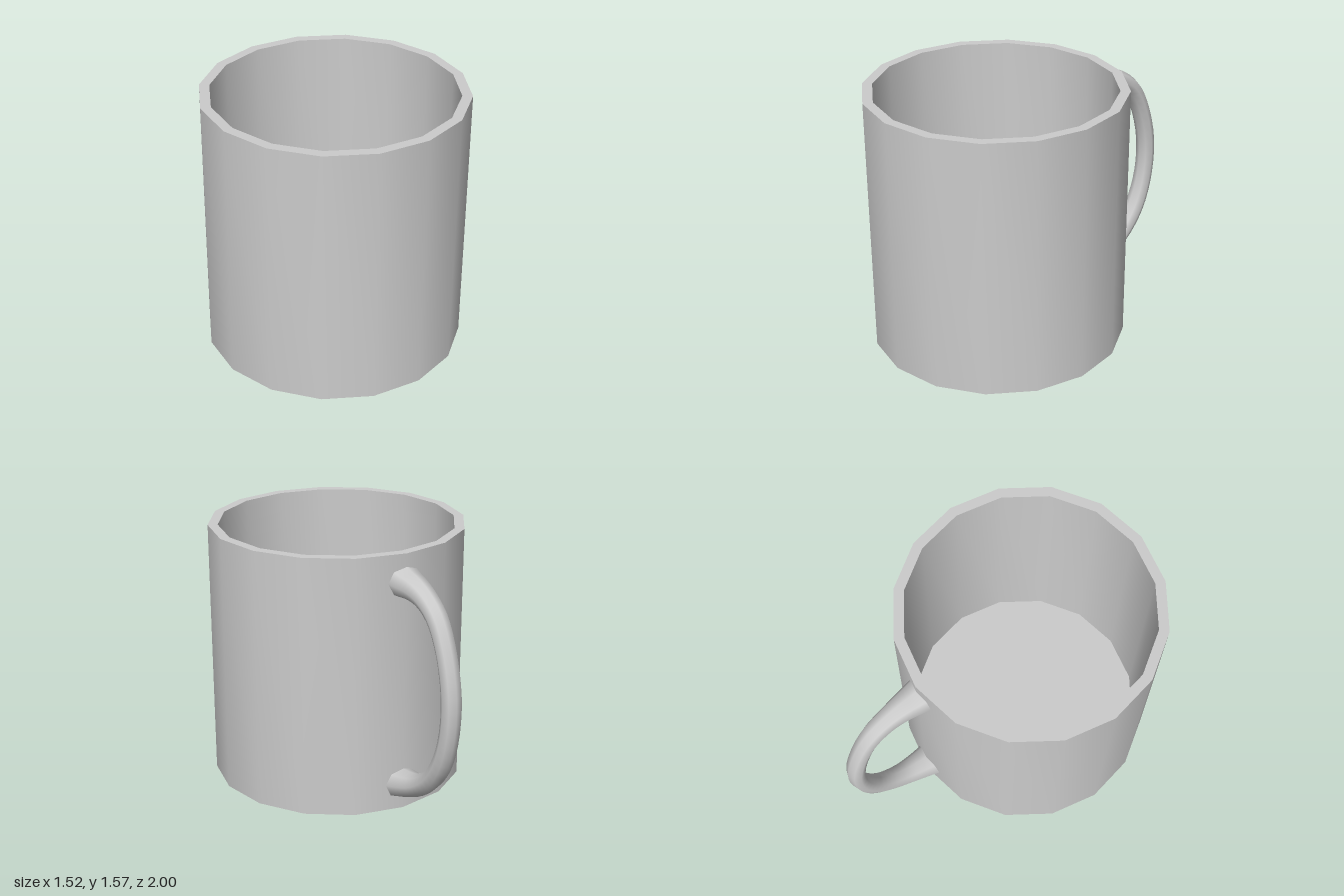
import * as THREE from 'three';
import { toCreasedNormals } from 'three/addons/utils/BufferGeometryUtils.js';

const R = 0.766, INNER = 0.707, H = 1.57, FLOOR = 0.06;

// Handle stations: distance from the cup's axis, height, thickness radius
const HANDLE = [
  [0.72, 1.405, 0.098], [0.78, 1.398, 0.087], [0.87, 1.39, 0.072], [0.97, 1.357, 0.061],
  [1.075, 1.28, 0.057], [1.165, 1.12, 0.054], [1.225, 0.88, 0.054], [1.215, 0.64, 0.054],
  [1.15, 0.44, 0.057], [1.05, 0.305, 0.06], [0.93, 0.22, 0.067], [0.80, 0.173, 0.085],
  [0.72, 0.155, 0.1],
];

// Closed octagonal sweep in the XY plane, swelling towards both ends
function handleGeometry(steps = 40, sides = 8) {
  const curve = new THREE.CatmullRomCurve3(HANDLE.map((p) => new THREE.Vector3(...p)));
  const positions = [], index = [];
  for (let i = 0; i <= steps; i++) {
    const p = curve.getPoint(i / steps);
    const t = curve.getTangent(i / steps).setZ(0).normalize();
    const n = new THREE.Vector3(-t.y, t.x, 0);
    // sideways the handle is a little wider than it is deep
    const wide = p.z * 1.13;
    for (let j = 0; j < sides; j++) {
      const a = (j / sides) * Math.PI * 2;
      const c = Math.cos(a) * p.z;
      positions.push(p.x + n.x * c, p.y + n.y * c, Math.sin(a) * wide);
      if (i < steps) {
        const k = (j + 1) % sides, r = i * sides, s = r + sides;
        index.push(r + j, r + k, s + j, r + k, s + k, s + j);
      }
    }
  }
  // end caps, buried in the wall
  const last = steps * sides;
  for (let j = 1; j < sides - 1; j++) {
    index.push(0, j + 1, j, last, last + j, last + j + 1);
  }
  const g = new THREE.BufferGeometry();
  g.setAttribute('position', new THREE.Float32BufferAttribute(positions, 3));
  g.setIndex(index);
  return toCreasedNormals(g, THREE.MathUtils.degToRad(60));
}

export function createModel() {
  const group = new THREE.Group();
  group.name = 'mug';
  const material = new THREE.MeshStandardMaterial({ color: 0xcccccc });

  // Sixteen-sided cup: base, outer wall, rim, inner wall and floor
  const profile = [[0, 0], [R, 0], [R, H], [INNER, H], [INNER, FLOOR], [0, FLOOR]]
    .map(([x, y]) => new THREE.Vector2(x, y));
  const lathe = new THREE.LatheGeometry(profile, 16, THREE.MathUtils.degToRad(15));
  const cup = new THREE.Mesh(toCreasedNormals(lathe, THREE.MathUtils.degToRad(40)), material);
  cup.name = 'cup';
  cup.position.z = 0.24;
  group.add(cup);

  // Handle, set radially at the back, slightly to the model's right
  const handle = new THREE.Mesh(handleGeometry(), material);
  handle.name = 'handle';
  handle.position.z = 0.24;
  handle.rotation.y = THREE.MathUtils.degToRad(105);
  group.add(handle);

  return group;
}
